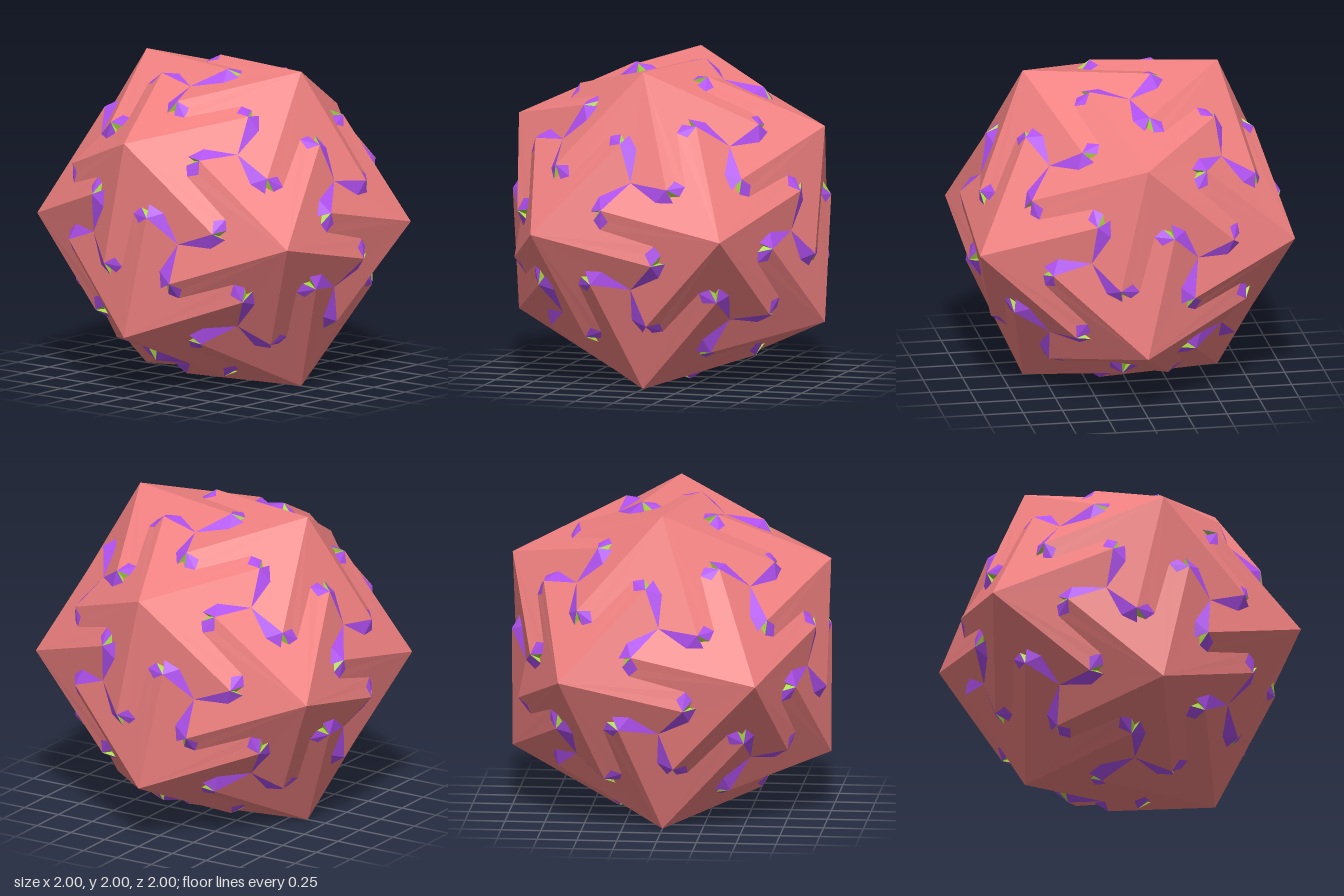
import * as THREE from 'three';

const V = (x, y, z) => new THREE.Vector3(x, y, z);
const G = (Math.sqrt(5) - 1) / 2;

// The twelve five-fold corners
function corners() {
  const list = [];
  for (const s of [1, -1]) for (const t of [1, -1]) {
    list.push(V(s, t * G, 0), V(0, s, t * G), V(t * G, 0, s));
  }
  return list;
}

const basis = (a, b) => new THREE.Matrix4().makeBasis(a, b, a.clone().cross(b));

// Fan of triangles, turned to face away from the centre
function fan(out, pts) {
  for (let i = 1; i < pts.length - 1; i++) {
    const [a, b, c] = [pts[0], pts[i], pts[i + 1]];
    const n = b.clone().sub(a).cross(c.clone().sub(a));
    out.push(...(n.dot(a) > 0 ? [a, b, c] : [a, c, b]));
  }
}

// One sixtieth of the solid: a twisted pyramid facet and one claw
function unitCell() {
  const A = V(-G, 0, 1), B = V(G, 0, 1), T = V(0, 1, G);
  const axis = A.clone().normalize();
  const centre = A.clone().add(B).add(T).divideScalar(3);
  const n0 = centre.clone().normalize();
  const twist = -14.5 * Math.PI / 180, fifth = Math.PI * 0.4;

  // Planes of the facets that meet around the claw
  const nA = n0.clone().applyAxisAngle(axis, twist);
  const nT = nA.clone().applyAxisAngle(n0, -fifth * 5 / 3);
  const nStrip = nA.clone().applyAxisAngle(axis, fifth);
  const dist = nA.dot(A);

  // Point above the flat face at a polar position, dropped onto a facet plane
  const up = V(0, n0.z, -n0.y);
  const on = (r, deg, n) => {
    const q = deg * Math.PI / 180;
    const p = centre.clone().add(V(r * Math.cos(q), 0, 0)).addScaledVector(up, r * Math.sin(q));
    return p.addScaledVector(n0, (dist - n.dot(p)) / n.dot(n0));
  };

  const C = on(0, 0, nA);
  const P = T.clone().sub(A).applyAxisAngle(axis, twist).setLength(0.8).add(A);
  const c = on(0.215, 86, nT), b = on(0.31, 98, nT), m = on(0.275, 104, nT);
  const f = on(0.33, 108, nT), g = on(0.349, 119.5, nT), e = on(0.286, 125, nStrip);
  const back = (p) => p.clone().applyAxisAngle(axis, -fifth);

  const cell = { facets: [], claws: [], notches: [] };
  fan(cell.facets, [A, back(P), back(e), back(g), C, P]);
  fan(cell.claws, [P, C, c, b]);
  fan(cell.claws, [P, f, g, e]);
  fan(cell.notches, [P, b, m]);
  fan(cell.notches, [P, m, f]);
  return { cell, inverse: basis(A, B).invert() };
}

export function createModel() {
  const group = new THREE.Group();
  group.name = 'twistedIcosahedron';
  const { cell, inverse } = unitCell();

  // All sixty rotations, one for each directed edge
  const turns = [];
  const all = corners();
  for (const p of all) for (const q of all) {
    if (Math.abs(p.distanceTo(q) - 2 * G) < 0.01) turns.push(basis(p, q).multiply(inverse));
  }

  const colors = { facets: 0xf08080, claws: 0xb050f0, notches: 0xa8d840 };
  for (const [name, color] of Object.entries(colors)) {
    const pts = turns.flatMap((t) => cell[name].map((p) => p.clone().applyMatrix4(t)));
    const geo = new THREE.BufferGeometry().setFromPoints(pts);
    geo.computeVertexNormals();
    const mat = new THREE.MeshStandardMaterial({ color, flatShading: true, side: THREE.DoubleSide });
    const mesh = new THREE.Mesh(geo, mat);
    mesh.name = name;
    mesh.position.y = 1;
    group.add(mesh);
  }
  return group;
}
